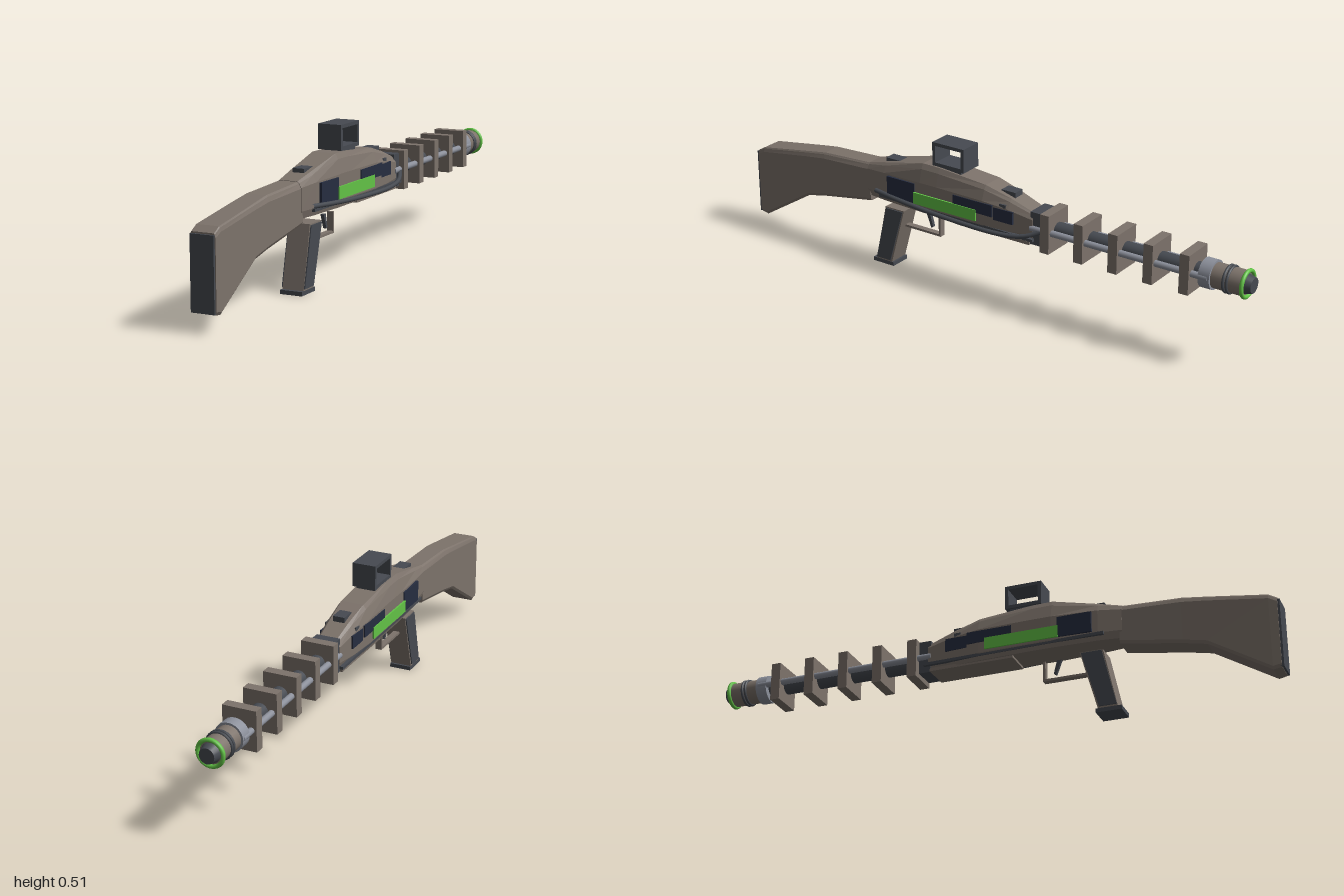
import * as THREE from 'three';

const mat = (name, color, extra = {}) => {
  const m = new THREE.MeshStandardMaterial({ color, ...extra });
  m.name = name;
  return m;
};

export function createModel() {
  const brown = mat('brown casing', 0x7d736b);
  const casing = mat('brown casing faceted', 0x7d736b, { flatShading: true });
  const dark = mat('dark grey', 0x464a51);
  const navy = mat('navy panel', 0x262d40);
  const green = mat('glowing green', 0x62c346);
  const steel = mat('light steel', 0x8c909b);

  const root = new THREE.Group();
  root.name = 'rifle';
  const gun = new THREE.Group();
  gun.name = 'rifleParts';
  gun.position.x = -0.01; // the centreline sits slightly right because of the side rod
  root.add(gun);

  const add = (name, geo, material, x = 0, y = 0, z = 0) => {
    const m = new THREE.Mesh(geo, material);
    m.name = name;
    m.position.set(x, y, z);
    gun.add(m);
    return m;
  };
  const box = (name, material, w, y0, y1, z0, z1, x = 0) =>
    add(name, new THREE.BoxGeometry(w, y1 - y0, z1 - z0), material, x, (y0 + y1) / 2, (z0 + z1) / 2);
  // cylinder along z
  const rod = (name, material, r, z0, z1, x = 0, y = 0.298, sides = 24) =>
    add(name, new THREE.CylinderGeometry(r, r, z1 - z0, sides).rotateX(Math.PI / 2), material, x, y, (z0 + z1) / 2);
  // side profile of [z, y] points, extruded across x
  const profile = (name, material, pts, w, x = 0) => {
    const shape = new THREE.Shape(pts.map(([z, y]) => new THREE.Vector2(-z, y)));
    const geo = new THREE.ExtrudeGeometry(shape, { depth: w, bevelEnabled: false });
    return add(name, geo.translate(0, 0, -w / 2).rotateY(Math.PI / 2), material, x);
  };
  // loft through stations of [z, halfWidth, topHalfWidth, bottomY, shoulderY, topY]
  const loft = (name, stations, inset, lip) => {
    const rings = stations.map(([z, w, wt, yb, ys, yt]) => {
      const half = [[w - inset, yb], [w, yb + lip], [w, ys], [(w * 0.45 + wt * 0.55), ys + (yt - ys) * 0.72], [wt, yt]];
      const other = half.map(([x, y]) => [-x, y]).reverse();
      return [...half, ...other].map(([x, y]) => [x, y, z]);
    });
    const pos = [];
    const tri = (...p) => p.forEach(v => pos.push(...v));
    const n = rings[0].length;
    for (let i = 0; i < rings.length - 1; i++) {
      const a = rings[i], b = rings[i + 1];
      for (let j = 0; j < n; j++) {
        const k = (j + 1) % n;
        tri(a[j], b[j], b[k]);
        tri(a[j], b[k], a[k]);
      }
    }
    const first = rings[0], last = rings[rings.length - 1];
    for (let j = 1; j < n - 1; j++) {
      tri(first[0], first[j], first[j + 1]);
      tri(last[0], last[j + 1], last[j]);
    }
    const geo = new THREE.BufferGeometry();
    geo.setAttribute('position', new THREE.Float32BufferAttribute(pos, 3));
    geo.computeVertexNormals();
    return add(name, geo, casing);
  };

  // stock and butt plate
  loft('stock', [
    [0.993, 0.043, 0.038, 0.058, 0.285, 0.3],
    [0.965, 0.044, 0.038, 0.053, 0.3, 0.316],
    [0.76, 0.044, 0.036, 0.178, 0.33, 0.348],
    [0.68, 0.044, 0.034, 0.195, 0.34, 0.36],
    [0.47, 0.045, 0.032, 0.23, 0.348, 0.369],
  ], 0.006, 0.01);
  box('buttPlate', dark, 0.08, 0.06, 0.295, 0.988, 1.0);

  // receiver
  loft('receiver', [
    [0.48, 0.046, 0.032, 0.25, 0.35, 0.37],
    [0.4, 0.056, 0.036, 0.25, 0.356, 0.389],
    [0.24, 0.063, 0.042, 0.249, 0.36, 0.425],
    [0.17, 0.063, 0.042, 0.249, 0.36, 0.424],
    [-0.02, 0.063, 0.04, 0.247, 0.358, 0.408],
    [-0.12, 0.056, 0.034, 0.247, 0.348, 0.381],
    [-0.21, 0.045, 0.03, 0.25, 0.33, 0.35],
  ], 0.008, 0.025);
  box('bellyPlate', brown, 0.1, 0.24, 0.252, -0.2, 0.1);
  box('barrelBlock', dark, 0.084, 0.242, 0.358, -0.243, -0.2);

  // side panels, mirrored
  for (const s of [-1, 1]) {
    box('rearPanel', navy, 0.018, 0.28, 0.352, 0.262, 0.38, s * 0.057);
    box('frontPanel', navy, 0.018, 0.31, 0.352, -0.06, 0.1, s * 0.057);
    box('frontPanelTip', navy, 0.018, 0.3, 0.345, -0.14, -0.06, s * 0.051);
    for (let i = 0; i < 3; i++)
      box('panelTooth', dark, 0.012, 0.35, 0.362, -0.11 + i * 0.06, -0.085 + i * 0.06, s * 0.051);
    box('glowStrip', green, 0.008, 0.28, 0.321, 0.005, 0.265, s * 0.065);
    const rail = box('lowerRail', dark, 0.012, 0.262, 0.272, -0.22, 0.42, s * 0.056);
    rail.rotation.x = -0.01;
  }

  // long operating rod on the +x side
  const path = new THREE.CatmullRomCurve3([
    [0.04, 0.3, -0.25], [0.066, 0.275, -0.19], [0.077, 0.264, -0.1],
    [0.078, 0.268, 0.15], [0.072, 0.276, 0.3], [0.06, 0.285, 0.435],
  ].map(p => new THREE.Vector3(...p)));
  add('operatingRod', new THREE.TubeGeometry(path, 30, 0.008, 8, false), dark);

  // box sight, open across x
  const frame = new THREE.Shape([[-0.2, 0.428], [-0.07, 0.428], [-0.07, 0.512], [-0.2, 0.512]].map(p => new THREE.Vector2(...p)));
  frame.holes.push(new THREE.Path([[-0.188, 0.44], [-0.188, 0.5], [-0.082, 0.5], [-0.082, 0.44]].map(p => new THREE.Vector2(...p))));
  add('boxSight', new THREE.ExtrudeGeometry(frame, { depth: 0.084, bevelEnabled: false })
    .translate(0, 0, -0.042).rotateY(Math.PI / 2), dark);
  box('sightMount', dark, 0.07, 0.415, 0.43, 0.085, 0.185);

  // small iron sights
  box('rearSight', dark, 0.042, 0.376, 0.399, 0.35, 0.415);
  box('rearSightBlade', dark, 0.042, 0.39, 0.398, 0.33, 0.352);
  box('frontSight', dark, 0.042, 0.372, 0.398, -0.125, -0.07);

  // grip with side plates and base
  profile('grip', brown, [[0.41, 0.222], [0.33, 0.222], [0.388, 0.012], [0.455, 0.012]], 0.076);
  for (const s of [-1, 1])
    profile('gripPlate', dark, [[0.406, 0.218], [0.335, 0.218], [0.392, 0.02], [0.452, 0.02]], 0.006, s * 0.039);
  box('gripBase', dark, 0.078, 0, 0.014, 0.38, 0.468);

  // trigger and guard
  profile('triggerGuard', brown, [
    [0.345, 0.152], [0.192, 0.152], [0.192, 0.224], [0.2, 0.224], [0.2, 0.16], [0.345, 0.16],
  ], 0.022);
  profile('trigger', dark, [[0.255, 0.224], [0.24, 0.224], [0.228, 0.178], [0.236, 0.174]], 0.012);

  // barrel, side rods and square fins
  rod('barrel', dark, 0.028, -0.85, -0.2);
  for (const s of [-1, 1]) rod('sideRod', steel, 0.011, -0.86, -0.2, s * 0.04, 0.3, 12);
  for (let i = 0; i < 5; i++) {
    const z = -0.265 - i * 0.13;
    box('barrelFin', brown, 0.116, 0.23, 0.366, z - 0.017, z + 0.017);
  }

  // muzzle
  rod('muzzleCollar', steel, 0.049, -0.868, -0.828);
  rod('muzzleBody', brown, 0.042, -0.975, -0.865);
  for (const z of [-0.925, -0.913])
    add('muzzleRing', new THREE.TorusGeometry(0.043, 0.005, 8, 24), dark, 0, 0.298, z);
  add('glowRing', new THREE.TorusGeometry(0.043, 0.007, 10, 28), green, 0, 0.298, -0.977);
  add('muzzleTip', new THREE.CylinderGeometry(0.034, 0.026, 0.03, 20).rotateX(Math.PI / 2), dark, 0, 0.298, -0.985);

  return root;
}
